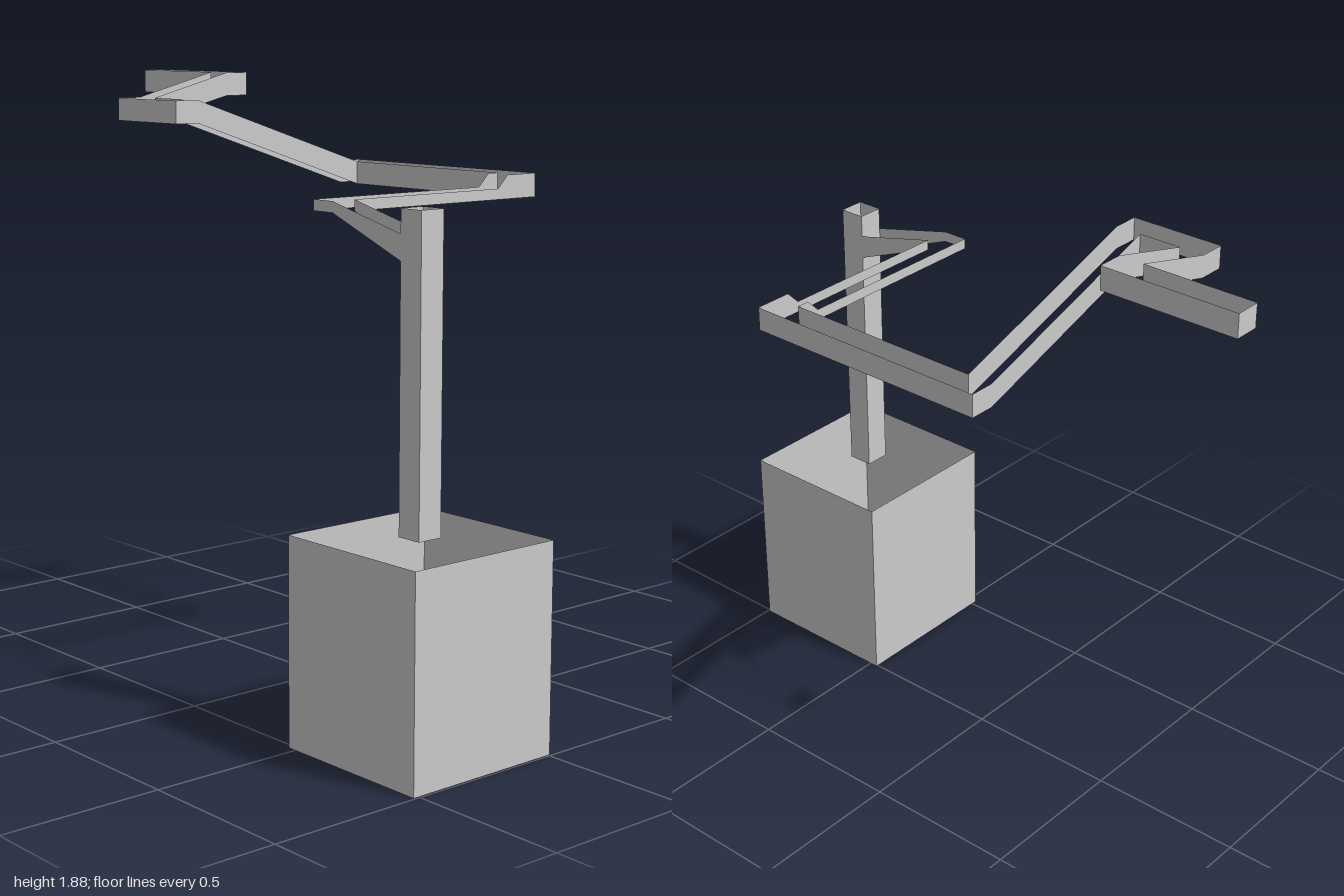
import * as THREE from 'three';

const material = new THREE.MeshStandardMaterial({ color: 0xcccccc, flatShading: true, side: THREE.DoubleSide });

// Upright thin wall through stations [x, z, bottom, top]
function wall(name, stations) {
  const positions = [], index = [];
  stations.forEach(([x, z, lo, hi], i) => {
    positions.push(x, lo, z, x, hi, z);
    if (i > 0) {
      const a = 2 * (i - 1);
      index.push(a, a + 2, a + 3, a, a + 3, a + 1);
    }
  });
  const geometry = new THREE.BufferGeometry();
  geometry.setAttribute('position', new THREE.Float32BufferAttribute(positions, 3));
  geometry.setIndex(index);
  const flat = geometry.toNonIndexed();
  flat.computeVertexNormals();
  const mesh = new THREE.Mesh(flat, material);
  mesh.name = name;
  return mesh;
}

// Square sleeve, open at top and bottom
function sleeve(name, x0, x1, z0, z1, lo, hi) {
  const corners = [[x0, z1], [x1, z1], [x1, z0], [x0, z0], [x0, z1]];
  return wall(name, corners.map(([x, z]) => [x, z, lo, hi]));
}

export function createModel() {
  const group = new THREE.Group();

  group.add(sleeve('base', 0.472, 0.995, -0.006, 0.518, 0, 0.625));
  group.add(sleeve('post', 0.692, 0.775, 0.217, 0.3, 0.625, 1.545));

  // Height bands [bottom, top] along the zigzag channel
  const root = [1.4, 1.475], thin = [1.512, 1.545];
  const low = [1.512, 1.585], mid = [1.732, 1.803], high = [1.803, 1.877];

  // Channel side facing the front at the post
  const outerSide = [
    [0.692, 0.3, ...root], [0.407, 0.3, ...thin], [0.325, 0.3, ...thin],
    [0.325, -0.36, ...thin], [0.325, -0.4, ...low], [0.325, -0.44, ...low],
    [-0.327, -0.44, ...low], [-0.327, 0.217, ...mid], [-0.327, 0.3, ...mid],
    [-0.632, 0.3, ...mid], [-0.632, 0.217, ...mid], [-0.632, -0.07, ...high],
    [-1, -0.07, ...high],
  ];
  // Channel side facing the back at the post
  const innerSide = [
    [0.692, 0.217, ...root], [0.407, 0.217, ...thin],
    [0.407, -0.36, ...thin], [0.407, -0.4, ...low], [0.407, -0.52, ...low],
    [-0.41, -0.52, ...low], [-0.41, -0.44, ...low], [-0.41, 0.217, ...mid],
    [-0.55, 0.217, ...mid], [-0.55, -0.07, ...high], [-0.55, -0.153, ...high],
    [-1, -0.153, ...high],
  ];
  const arm = new THREE.Group();
  arm.name = 'zigzagArm';
  arm.add(wall('armFrontWall', outerSide));
  arm.add(wall('armBackWall', innerSide));
  arm.add(wall('armEndWall', [[-1, -0.07, ...high], [-1, -0.153, ...high]]));
  group.add(arm);

  return group;
}
